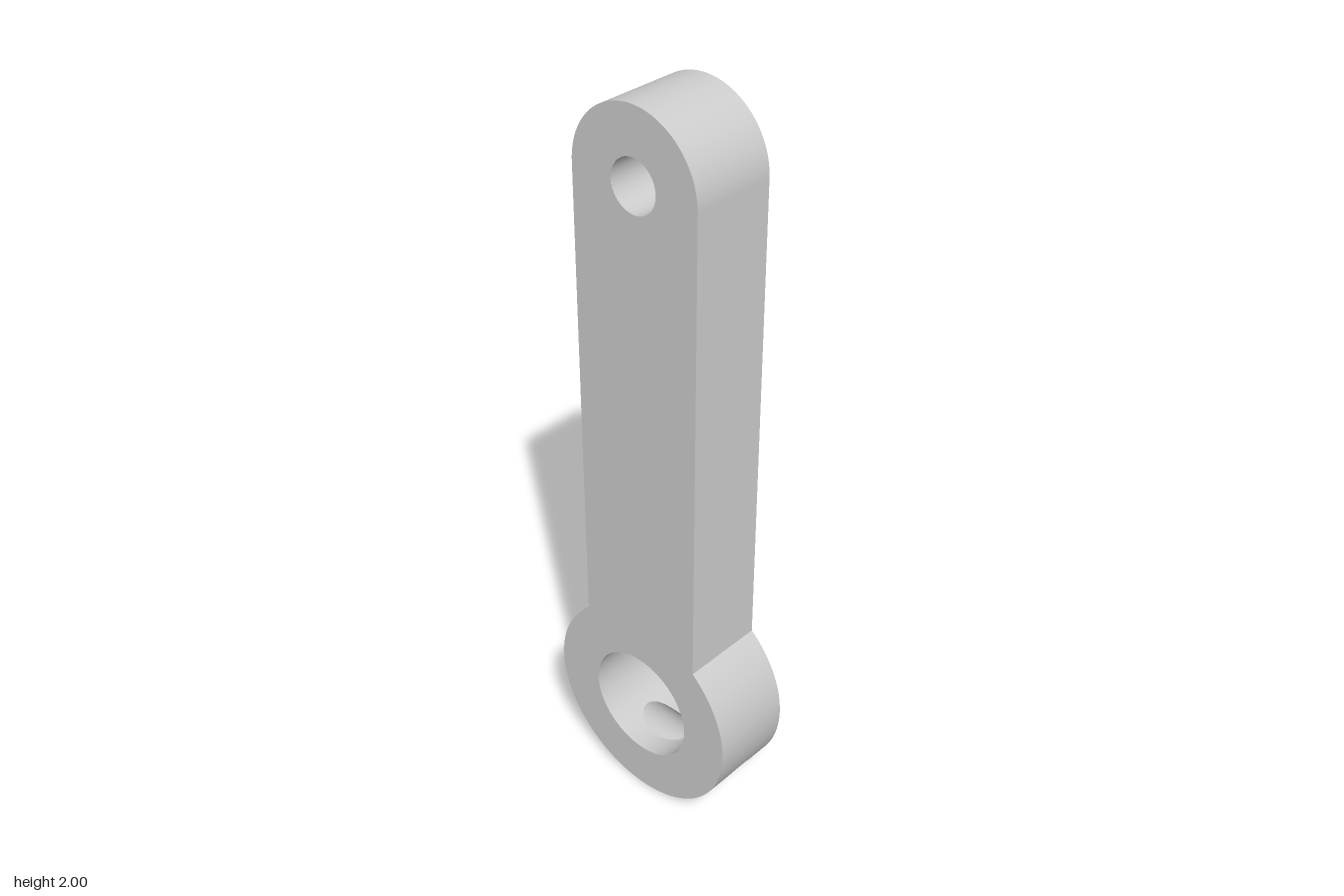
import * as THREE from 'three';

const H = 0.115;                                // half thickness
const RING = { y: 0.294, outer: 0.294, bore: 0.159 };
const ARM = { y: 1.813, half: 0.187, hole: 0.067 };
const PIN = { y: 0.093, r: 0.067 };             // cross hole along x
const BOTH = [1, -1];

// Angles from a to b, closer together near both ends
function range(a, b, n = 32) {
  return Array.from({ length: n + 1 }, (_, i) => a + (b - a) * (1 - Math.cos(Math.PI * i / n)) / 2);
}

// Smooth strip through rows of [edge point, edge point, normal], wound to agree with the normals
function addRibbon(out, rows) {
  const P = (a) => new THREE.Vector3(...a);
  for (let i = 0; i + 1 < rows.length; i++) {
    const [a, b, n] = rows[i], [c, d, m] = rows[i + 1];
    const face = P(d).sub(P(a)).cross(P(c).sub(P(b)));
    const corners = [[a, n], [b, n], [d, m], [a, n], [d, m], [c, m]];
    if (face.dot(P(n).add(P(m))) < 0) corners.reverse();
    for (const [p, q] of corners) { out.pos.push(...p); out.nor.push(...q); }
  }
}

function ribbonMesh(name, material, ribbons) {
  const out = { pos: [], nor: [] };
  ribbons.forEach((rows) => addRibbon(out, rows));
  const g = new THREE.BufferGeometry();
  g.setAttribute('position', new THREE.Float32BufferAttribute(out.pos, 3));
  g.setAttribute('normal', new THREE.Float32BufferAttribute(out.nor, 3));
  const mesh = new THREE.Mesh(g, material);
  mesh.name = name;
  return mesh;
}

// Half width of the cross hole in z at a given height
const pinWidth = (y) => Math.sqrt(Math.max(0, PIN.r ** 2 - (y - PIN.y) ** 2));

// Cylindrical wall about z, with the angle t measured from the bottom, minus the cross hole
function wall(cy, R, end, facing, start = 0) {
  const breaks = [start, end];
  for (const y of [PIN.y - PIN.r, PIN.y + PIN.r]) {
    const c = (cy - y) / R;
    if (Math.abs(c) < 1 && Math.acos(c) > start && Math.acos(c) < end) breaks.push(Math.acos(c));
  }
  breaks.sort((a, b) => a - b);
  const ribbons = [];
  for (let i = 0; i + 1 < breaks.length; i++)
    for (const sx of BOTH) for (const sz of BOTH)
      ribbons.push(range(breaks[i], breaks[i + 1]).map((t) => {
        const x = sx * R * Math.sin(t), y = cy - R * Math.cos(t);
        return [[x, y, sz * pinWidth(y)], [x, y, sz * H],
          [facing * sx * Math.sin(t), -facing * Math.cos(t), 0]];
      }));
  return ribbons;
}

export function createModel() {
  const group = new THREE.Group();
  group.name = 'linkArm';
  const metal = new THREE.MeshStandardMaterial({ color: 0xcccccc });
  metal.name = 'grey metal';

  // Flat front and back faces
  const join = Math.PI - Math.asin(ARM.half / RING.outer);
  const shape = new THREE.Shape();
  shape.absarc(0, ARM.y, ARM.half, 0, Math.PI, false);
  shape.absarc(0, RING.y, RING.outer, -Math.PI / 2 - join, -Math.PI / 2 + join, false);
  shape.closePath();
  for (const [y, r] of [[ARM.y, ARM.hole], [RING.y, RING.bore]])
    shape.holes.push(new THREE.Path().absarc(0, y, r, 0, Math.PI * 2, true));
  const faceGeometry = new THREE.ShapeGeometry(shape, 96);
  for (const s of BOTH) {
    const face = new THREE.Mesh(faceGeometry, metal);
    face.name = s > 0 ? 'frontFace' : 'backFace';
    face.position.z = s * H;
    if (s < 0) face.rotation.y = Math.PI;
    group.add(face);
  }

  // Straight arm edges and the rounded end
  const joinY = RING.y - RING.outer * Math.cos(join);
  group.add(ribbonMesh('armSides', metal, BOTH.map((s) => [joinY, ARM.y].map((y) =>
    [[s * ARM.half, y, -H], [s * ARM.half, y, H], [s, 0, 0]]))));
  group.add(ribbonMesh('armEnd', metal, wall(ARM.y, ARM.half, Math.PI, 1, Math.PI / 2)));
  group.add(ribbonMesh('armHole', metal, wall(ARM.y, ARM.hole, Math.PI, -1)));

  // Ring rim and bore, both cut by the cross hole
  group.add(ribbonMesh('ringRim', metal, wall(RING.y, RING.outer, join, 1)));
  group.add(ribbonMesh('ringBore', metal, wall(RING.y, RING.bore, Math.PI, -1)));

  // Cross hole lining, running from the rim to the middle or to the bore
  const open = Math.asin((RING.y - RING.bore - PIN.y) / PIN.r);
  const reach = (R, y) => Math.sqrt(Math.max(0, R * R - (y - RING.y) ** 2));
  const lining = [];
  for (const [a, b] of [[-Math.PI / 2, open], [open, Math.PI / 2]])
    for (const sx of BOTH) for (const sz of BOTH)
      lining.push(range(a, b).map((p) => {
        const y = PIN.y + PIN.r * Math.sin(p), z = sz * PIN.r * Math.cos(p);
        return [[sx * reach(RING.bore, y), y, z], [sx * reach(RING.outer, y), y, z],
          [0, -Math.sin(p), -sz * Math.cos(p)]];
      }));
  group.add(ribbonMesh('crossHole', metal, lining));

  return group;
}
